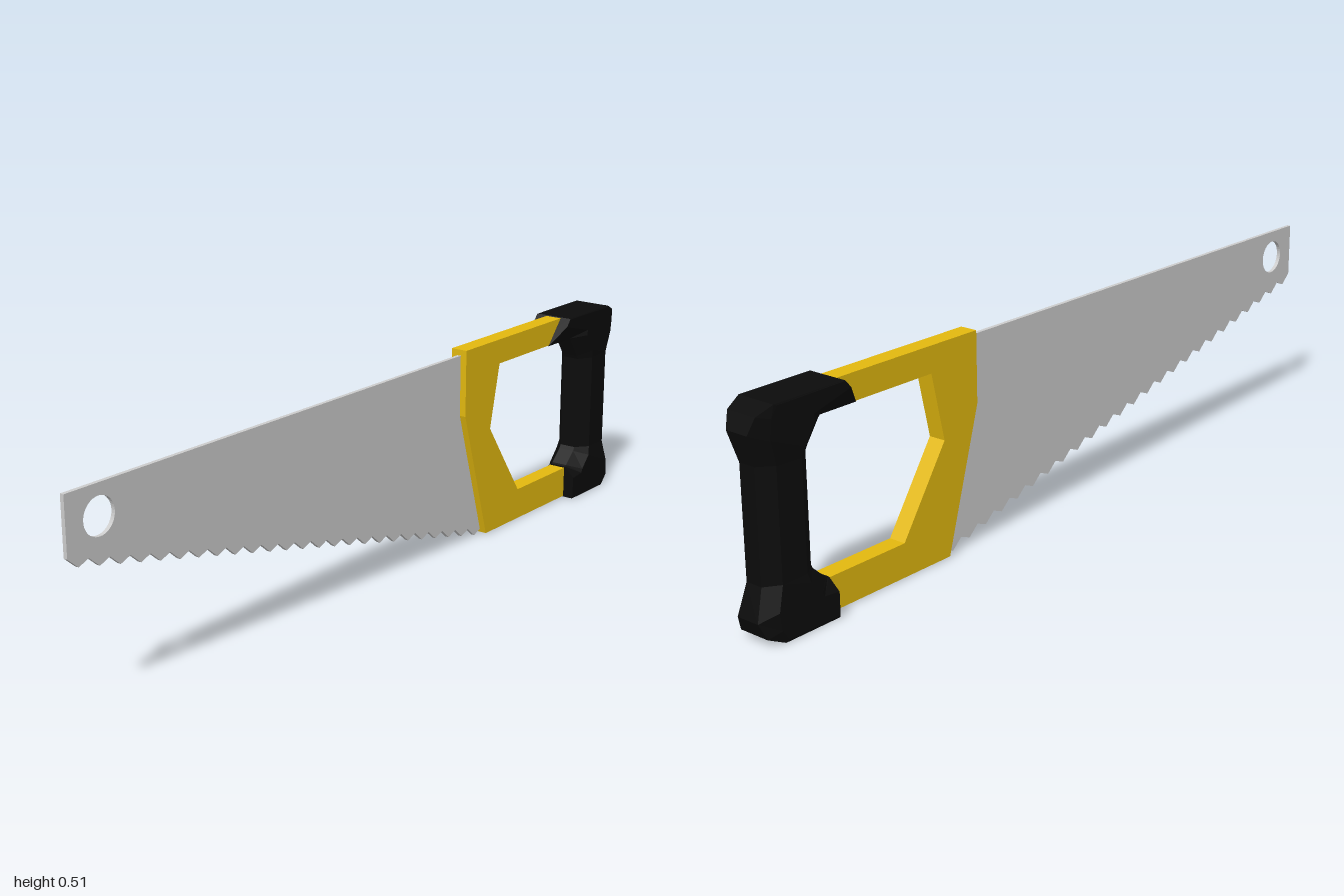
import * as THREE from 'three';

const material = (color) => new THREE.MeshStandardMaterial({ color, flatShading: true });

function polygon(points) {
  return new THREE.Shape(points.map(([x, y]) => new THREE.Vector2(x, y)));
}

// Flat plate centred on z = 0
function plate(name, shape, thickness, color) {
  const geometry = new THREE.ExtrudeGeometry(shape, { depth: thickness, bevelEnabled: false, curveSegments: 20 });
  geometry.translate(0, 0, -thickness / 2);
  const mesh = new THREE.Mesh(geometry, material(color));
  mesh.name = name;
  return mesh;
}

// Tapered blade with a toothed lower edge and a hanging hole
function createBlade() {
  const teeth = 25, x0 = -1, x1 = 0.42, pitch = (x1 - x0) / teeth;
  const points = [[0.4, 0.495], [x0, 0.495]];
  for (let i = 0; i < teeth; i++) {
    const x = x0 + i * pitch;
    const edge = (px) => 0.36 - 0.245 * (px - x0);
    points.push([x, edge(x)], [x + pitch * 0.5, edge(x + pitch * 0.5) - 0.018]);
  }
  points.push([x1, 0.012]);
  const shape = polygon(points);
  const hole = new THREE.Path();
  hole.absarc(-0.91, 0.425, 0.043, 0, Math.PI * 2, true);
  shape.holes.push(hole);
  return plate('blade', shape, 0.01, 0xcccccc);
}

// C-shaped handle frame that clasps the blade
function createFrame() {
  return plate('handleFrame', polygon([
    [0.32, 0.51], [0.32, 0.34], [0.42, 0.002], [0.81, 0.002], [0.81, 0.083], [0.565, 0.083],
    [0.43, 0.283], [0.467, 0.447], [0.71, 0.447], [0.752, 0.508], [0.752, 0.51],
  ]), 0.044, 0xe3b90f);
}

// Rubber grip: chamfered sections lofted round the rear of the handle
function createGrip() {
  // inner x, y, outer x, y, half width, inner chamfer, outer half width, outer chamfer
  const stations = [
    [0.695, 0.445, 0.752, 0.512, 0.052, 0.72, 0.05, 0.02],
    [0.798, 0.445, 0.945, 0.512, 0.052, 0.3, 0.05, 0.05],
    [0.803, 0.44, 0.985, 0.494, 0.052, 0.2, 0.04, 0.17],
    [0.837, 0.39, 1.0, 0.457, 0.052, 0.2, 0.03, 0.25],
    [0.842, 0.38, 0.978, 0.385, 0.048, 0.25, 0.022, 0.25],
    [0.842, 0.13, 0.978, 0.127, 0.048, 0.25, 0.022, 0.25],
    [0.837, 0.12, 1.0, 0.055, 0.052, 0.2, 0.03, 0.25],
    [0.803, 0.088, 0.985, 0.018, 0.052, 0.2, 0.04, 0.17],
    [0.798, 0.085, 0.945, 0, 0.052, 0.25, 0.05, 0.05],
    [0.793, 0.085, 0.793, 0, 0.052, 0.3, 0.05, 0.05],
  ];
  const rings = stations.map(([ix, iy, ox, oy, w, ci, fo, co]) => {
    const at = (t, z) => [ix + (ox - ix) * t, iy + (oy - iy) * t, z];
    return [at(0, -0.022), at(0, 0.022), at(ci, w), at(1 - co, w),
      at(1, fo), at(1, -fo), at(1 - co, -w), at(ci, -w)];
  });
  const n = 8, index = [], last = (rings.length - 1) * n;
  for (let i = 0; i < rings.length - 1; i++) {
    for (let j = 0; j < n; j++) {
      const a = i * n + j, b = i * n + (j + 1) % n;
      index.push(a, a + n, b + n, a, b + n, b);
    }
  }
  // End caps
  for (let j = 1; j < n - 1; j++) {
    index.push(0, j, j + 1, last, last + j + 1, last + j);
  }
  const geometry = new THREE.BufferGeometry();
  geometry.setAttribute('position', new THREE.Float32BufferAttribute(rings.flat(2), 3));
  geometry.setIndex(index);
  const faceted = geometry.toNonIndexed();
  faceted.computeVertexNormals();
  const mesh = new THREE.Mesh(faceted, material(0x0b0b0b));
  mesh.name = 'grip';
  return mesh;
}

export function createModel() {
  const group = new THREE.Group();
  group.name = 'handSaw';
  group.add(createBlade(), createFrame(), createGrip());
  return group;
}
